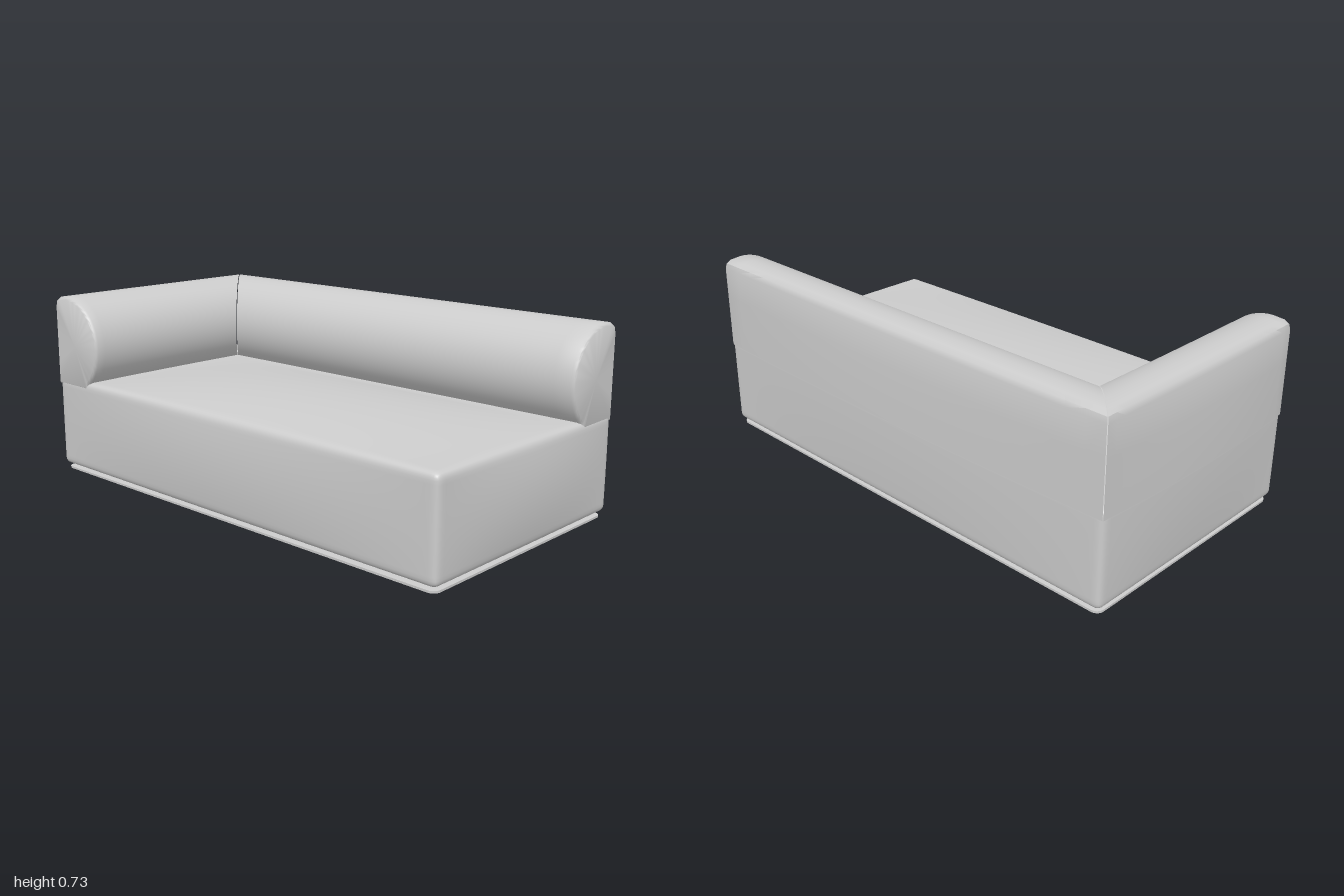
import * as THREE from 'three';
import { mergeVertices, toCreasedNormals } from 'three/addons/utils/BufferGeometryUtils.js';

const HX = 0.98, HZ = 0.508;            // half width and half depth at the edges
const TOP = 0.39, BOTTOM = 0.02, CREST = 0.726;

// 1 in the middle of a span, 0 at and beyond its ends
const hump = (v, lo, hi) => Math.max(0, 1 - ((2 * v - lo - hi) / (hi - lo)) ** 2);

// Swell the upholstered sides gently outward
function puff(v) {
  const { x, y, z } = v;
  const low = hump(y, BOTTOM, TOP), tall = hump(y, BOTTOM, CREST);
  v.x += 0.02 * (x / HX) ** 3 * hump(z, -HZ, HZ) * (x < 0 ? tall : low);
  v.z += 0.016 * (z / HZ) ** 3 * hump(x, -HX, HX) * (z < 0 ? tall : low);
  return v;
}

// Soft block with rounded edges, swollen sides and a crowned seat
function bodyGeometry() {
  let geo = new THREE.BoxGeometry(2, 2, 2, 48, 24, 40);
  geo.deleteAttribute('normal');
  geo.deleteAttribute('uv');
  geo = mergeVertices(geo);
  const half = new THREE.Vector3(HX, (TOP - BOTTOM) / 2, HZ);
  const r = 0.025, inner = half.clone().subScalar(r);
  const pos = geo.attributes.position, v = new THREE.Vector3(), core = new THREE.Vector3();
  const spread = t => Math.sin(t * Math.PI / 2);
  for (let i = 0; i < pos.count; i++) {
    v.fromBufferAttribute(pos, i);
    v.set(spread(v.x), spread(v.y), spread(v.z)).multiply(half);
    core.copy(v).clamp(inner.clone().negate(), inner);
    v.sub(core).setLength(r).add(core);
    const up = v.y / half.y;
    v.y += (TOP + BOTTOM) / 2;
    puff(v);
    if (up > 0) v.y += 0.042 * up ** 3 * hump(v.x, -0.74, HX) * hump(v.z, -0.27, HZ);
    else v.y += 0.01 * up ** 3 * hump(v.x, -HX, HX) * hump(v.z, -HZ, HZ);
    pos.setXYZ(i, v.x, v.y, v.z);
  }
  geo.computeVertexNormals();
  return geo;
}

// Bolster cross-section: u is the distance in from the outer face
const profile = [[0, 0.36], [0, 0.45], [0, 0.57], [0, 0.69], [0.006, 0.71], [0.025, 0.722]];
for (let i = 0; i <= 28; i++) {
  const a = THREE.MathUtils.degToRad(90 - i * 5);
  profile.push([0.07 + 0.196 * Math.cos(a), 0.53 + 0.196 * Math.sin(a)]);
}
profile.push([0.19, 0.36]);

// Bolster swept from the mitred corner to a softly rounded free end
function bolsterGeometry(start, end, place, flip) {
  const verts = [], index = [], n = profile.length, rows = [];
  const cu = 0.12, cy = 0.53;
  for (let i = 0; i <= 24; i++) rows.push([i / 24, 0.014, 1]);
  rows.push([1, 0.004, 0.975], [1, 0, 0.94]);
  const add = (u, y, a) => verts.push(...puff(place(u, y, a)).toArray());
  for (const [t, inset, s] of rows)
    for (const [pu, py] of profile) {
      const u = cu + (pu - cu) * s, y = cy + (py - cy) * s;
      add(u, y, THREE.MathUtils.lerp(start + u, end - inset, t));
    }
  const tri = (a, b, c) => index.push(a, ...(flip ? [c, b] : [b, c]));
  for (let i = 0; i < rows.length - 1; i++)
    for (let j = 0; j < n; j++) {
      const k = (j + 1) % n, a = i * n, b = a + n;
      tri(a + j, a + k, b + j);
      tri(a + k, b + k, b + j);
    }
  add(cu, cy, end);
  const last = (rows.length - 1) * n;
  for (let j = 0; j < n; j++) tri(last + n, last + j, last + (j + 1) % n);
  const geo = new THREE.BufferGeometry();
  geo.setAttribute('position', new THREE.Float32BufferAttribute(verts, 3));
  geo.setIndex(index);
  return toCreasedNormals(geo, 0.7);
}

// Thin base plate with rounded corners
function plateGeometry(hx, hz, r, thick) {
  const s = new THREE.Shape();
  s.absarc(hx - r, hz - r, r, 0, Math.PI / 2);
  s.absarc(r - hx, hz - r, r, Math.PI / 2, Math.PI);
  s.absarc(r - hx, r - hz, r, Math.PI, Math.PI * 1.5);
  s.absarc(hx - r, r - hz, r, Math.PI * 1.5, Math.PI * 2);
  return new THREE.ExtrudeGeometry(s, { depth: thick, bevelEnabled: false }).rotateX(-Math.PI / 2);
}

export function createModel() {
  const group = new THREE.Group();
  const fabric = new THREE.MeshStandardMaterial({ color: 0xcccccc });
  fabric.name = 'light grey fabric';
  const add = (name, geo) => {
    const mesh = new THREE.Mesh(geo, fabric);
    mesh.name = name;
    group.add(mesh);
  };
  add('seatBody', bodyGeometry());
  add('backBolster', bolsterGeometry(-HX, 0.978, (u, y, a) => new THREE.Vector3(a, y, -HZ - 0.002 + u), false));
  add('rightArmBolster', bolsterGeometry(-HZ, 0.509, (u, y, a) => new THREE.Vector3(-HX - 0.002 + u, y, a), true));
  add('basePlate', plateGeometry(0.97, 0.497, 0.03, 0.008));
  return group;
}
